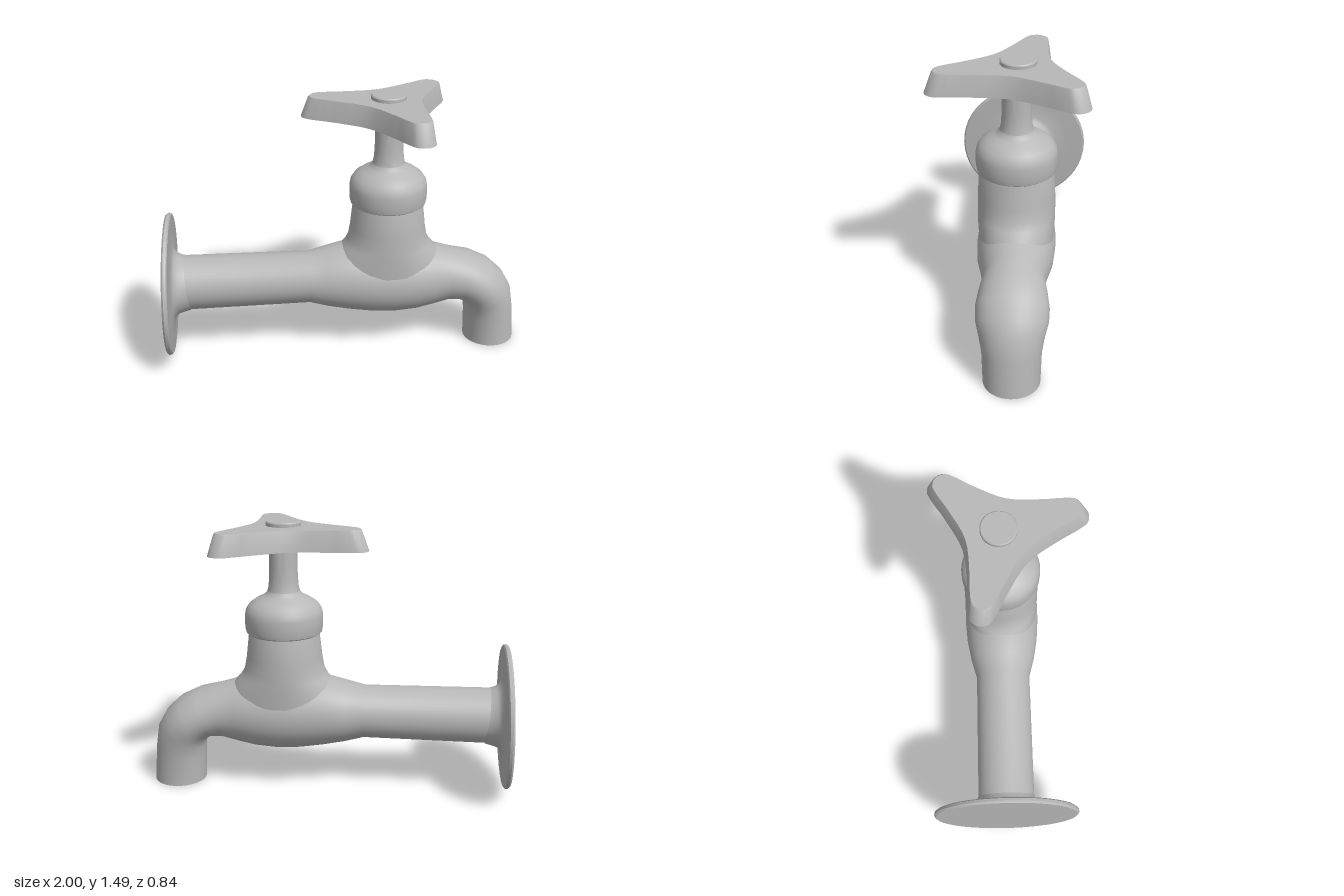
import * as THREE from 'three';
import { toCreasedNormals } from 'three/addons/utils/BufferGeometryUtils.js';

const V = (x, y, z) => new THREE.Vector3(x, y, z);
const CREASE = 0.6;
const SEG = 48;
const AXIS_X = 0.24, AXIS_Z = -0.025;

// Skin a list of closed rings and cap both ends.
function loft(rings) {
  const n = rings[0].length, pos = [], index = [];
  rings.flat().forEach((p) => pos.push(p.x, p.y, p.z));
  const addCentre = (ring) => {
    const c = ring.reduce((s, p) => s.add(p), V(0, 0, 0)).divideScalar(n);
    pos.push(c.x, c.y, c.z);
    return pos.length / 3 - 1;
  };
  const first = addCentre(rings[0]);
  const last = addCentre(rings[rings.length - 1]);
  const end = (rings.length - 1) * n;
  for (let j = 0; j < n; j++) {
    const k = (j + 1) % n;
    for (let i = 0; i < end; i += n) {
      index.push(i + j, i + k, i + n + k, i + j, i + n + k, i + n + j);
    }
    index.push(first, k, j, last, end + j, end + k);
  }
  const g = new THREE.BufferGeometry();
  g.setAttribute('position', new THREE.Float32BufferAttribute(pos, 3));
  g.setIndex(index);
  return toCreasedNormals(g, CREASE);
}

function ring(fn) {
  return Array.from({ length: SEG }, (_, j) => fn((j / SEG) * Math.PI * 2));
}

function lathe(profile) {
  const g = new THREE.LatheGeometry(profile.map(([r, y]) => new THREE.Vector2(r, y)), SEG);
  return toCreasedNormals(g, CREASE);
}

// Pipe, belly and spout: top x, top y, bottom x, bottom y, half width in z.
function bodyGeometry() {
  const sections = [
    [-0.96, 0.59, -0.96, 0.285, 0.153],
    [-0.2, 0.585, -0.2, 0.295, 0.15],
    [-0.1, 0.61, -0.1, 0.27, 0.178],
    [0.02, 0.64, 0.02, 0.247, 0.2],
    [0.15, 0.645, 0.15, 0.228, 0.21],
    [0.27, 0.645, 0.27, 0.22, 0.21],
    [0.4, 0.635, 0.4, 0.23, 0.2],
    [0.5, 0.61, 0.5, 0.25, 0.178],
    [0.6, 0.58, 0.59, 0.272, 0.16],
    [0.72, 0.55, 0.65, 0.274, 0.175],
    [0.83, 0.495, 0.68, 0.262, 0.186],
    [0.91, 0.42, 0.695, 0.24, 0.183],
    [0.96, 0.33, 0.7, 0.21, 0.166],
    [0.98, 0.21, 0.703, 0.15, 0.151],
    [0.997, 0.005, 0.707, 0.005, 0.146],
  ];
  return loft(sections.map(([tx, ty, bx, by, w]) => ring((t) => {
    const c = Math.cos(t) / 2;
    return V((tx + bx) / 2 + (tx - bx) * c, (ty + by) / 2 + (ty - by) * c,
      AXIS_Z + w * Math.sin(t));
  })));
}

// Upright neck that flares along the pipe: y, radius in x, radius in z.
function neckGeometry() {
  const sections = [
    [0.5, 0.33, 0.2], [0.6, 0.28, 0.205], [0.64, 0.243, 0.205],
    [0.68, 0.22, 0.205], [0.75, 0.207, 0.203], [0.88, 0.192, 0.196], [0.9, 0.188, 0.19],
  ];
  return loft(sections.map(([y, rx, rz]) => ring((t) =>
    V(AXIS_X + rx * Math.sin(t), y, AXIS_Z + rz * Math.cos(t)))));
}

// Three-armed handle, hollow underneath.
function handleGeometry() {
  const arm = [[0.28, -0.1], [0.4, -0.07], [0.45, -0.048], [0.47, 0],
    [0.45, 0.048], [0.4, 0.07], [0.28, 0.1], [0.095, 0.165]];
  const points = [];
  for (let i = 0; i < 3; i++) {
    const a = THREE.MathUtils.degToRad(46.5 + i * 120);
    for (const [u, v] of arm) {
      points.push(V(u * Math.cos(a) - v * Math.sin(a), 0, -u * Math.sin(a) - v * Math.cos(a)));
    }
  }
  const outline = new THREE.CatmullRomCurve3(points, true).getPoints(96).slice(0, -1);
  const layers = [[0.86, 1.435], [0.95, 1.355], [1, 1.355], [0.915, 1.46], [0.9, 1.467]];
  return loft(layers.map(([s, y]) => outline.map((p) => V(p.x * s, y, p.z * s))));
}

export function createModel() {
  const model = new THREE.Group();
  model.name = 'tap';
  const metal = new THREE.MeshStandardMaterial({ color: 0xb8b8b8 });
  metal.name = 'grey metal';

  const add = (name, geometry, x = 0, y = 0, z = 0) => {
    const mesh = new THREE.Mesh(geometry, metal);
    mesh.name = name;
    mesh.position.set(x, y, z);
    model.add(mesh);
    return mesh;
  };

  add('pipeAndSpout', bodyGeometry());
  add('neck', neckGeometry());

  // Wall plate, leaning slightly
  const plate = add('wallPlate', lathe([
    [0, 0], [0.385, 0], [0.395, 0.01], [0.393, 0.024], [0.385, 0.03], [0.3, 0.032],
    [0.21, 0.036], [0.185, 0.045], [0.168, 0.065], [0.157, 0.1], [0.148, 0.13],
  ]), -0.988, 0.435, AXIS_Z);
  plate.rotation.z = -Math.PI / 2 - 0.03;

  // Bonnet nut and its stem
  add('bonnet', lathe([
    [0, 0.885], [0.195, 0.885], [0.205, 0.892], [0.211, 0.92], [0.211, 0.985], [0.205, 1.015],
    [0.185, 1.045], [0.15, 1.07], [0.115, 1.088], [0.096, 1.1], [0.088, 1.115], [0, 1.115],
  ]), AXIS_X, 0, AXIS_Z);
  add('stem', lathe([
    [0.088, 1.113], [0.081, 1.14], [0.077, 1.19], [0.075, 1.25], [0.074, 1.44],
  ]), AXIS_X, 0, AXIS_Z);

  add('handle', handleGeometry(), 0.237, 0, -0.03);
  add('handleCap', lathe([
    [0, 1.455], [0.093, 1.455], [0.093, 1.484], [0.088, 1.49], [0, 1.49],
  ]), 0.235, 0, -0.032);
  return model;
}
